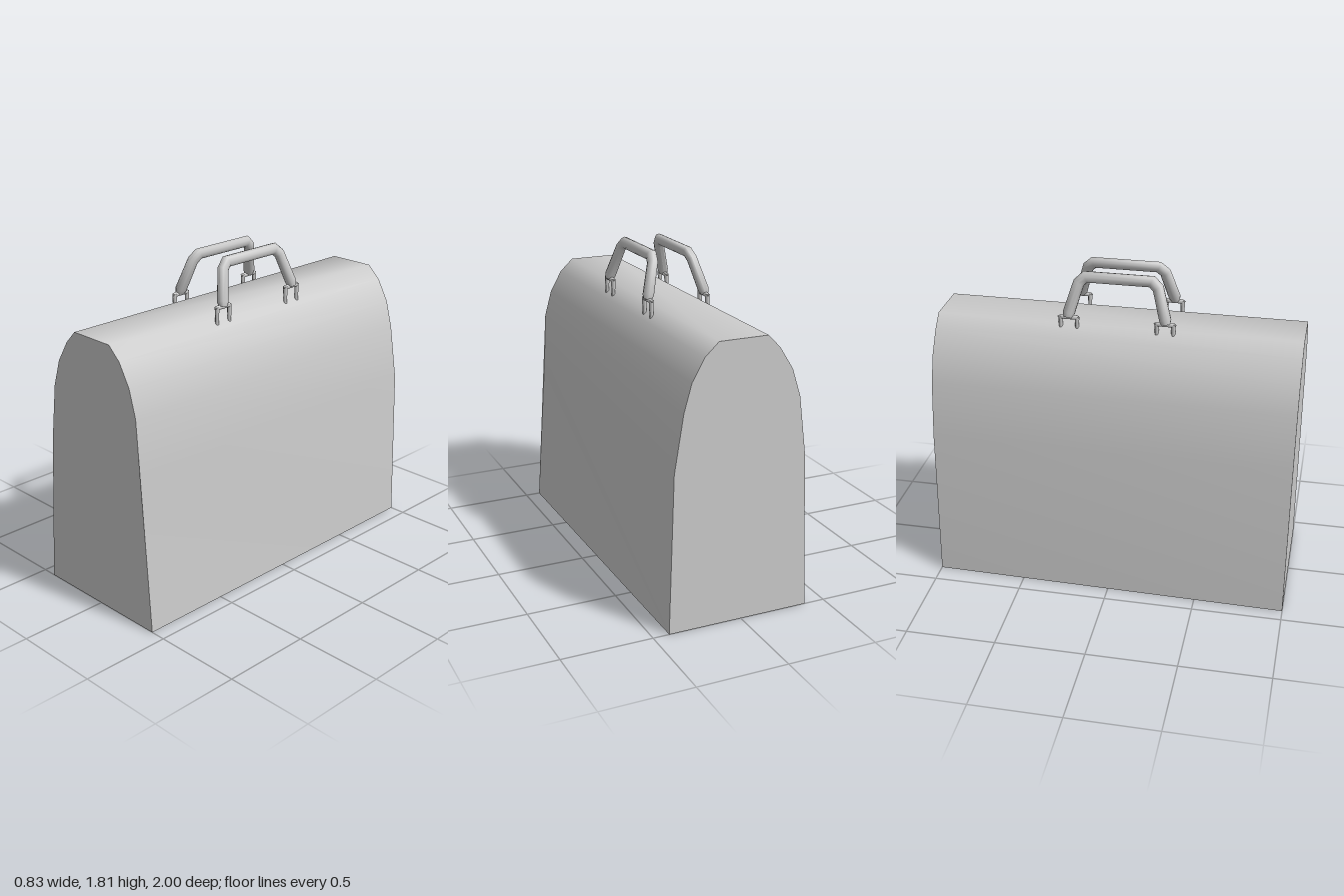
import * as THREE from 'three';
import { toCreasedNormals } from 'three/addons/utils/BufferGeometryUtils.js';

const material = new THREE.MeshStandardMaterial({ color: 0xcccccc });

function addMesh(parent, name, geometry) {
  const mesh = new THREE.Mesh(geometry, material);
  mesh.name = name;
  parent.add(mesh);
  return mesh;
}

// Skins a list of equal-sized, counterclockwise rings and caps both ends.
function loft(rings, crease) {
  const n = rings[0].length;
  const last = (rings.length - 1) * n;
  const index = [];
  for (let i = 0; i < rings.length - 1; i++) {
    for (let j = 0; j < n; j++) {
      const k = (j + 1) % n;
      const a = i * n + j, b = i * n + k;
      index.push(a, b, b + n, a, b + n, a + n);
    }
  }
  for (let j = 1; j < n - 1; j++) {
    index.push(0, j + 1, j, last, last + j, last + j + 1);
  }
  const geometry = new THREE.BufferGeometry().setFromPoints(rings.flat());
  geometry.setIndex(index);
  return toCreasedNormals(geometry, crease);
}

// Bag body: height, then left and right x at the front and at the back.
function bodyGeometry() {
  const rows = [
    [0, -0.42, 0.415, -0.385, 0.41],
    [0.87, -0.353, 0.35, -0.35, 0.385],
    [1.18, -0.31, 0.335, -0.31, 0.335],
    [1.33, -0.262, 0.293, -0.262, 0.293],
    [1.45, -0.187, 0.225, -0.187, 0.225],
    [1.52, -0.12, 0.15, -0.12, 0.15],
  ];
  const ring = (z, l, r) => [
    ...rows.map((row) => new THREE.Vector3(row[r], row[0], z)),
    ...rows.map((row) => new THREE.Vector3(row[l], row[0], z)).reverse(),
  ];
  return loft([ring(-1, 3, 4), ring(1, 1, 2)], 1.05);
}

// Round grip swept along an angular path with mitred corners.
function gripGeometry() {
  const half = [[-0.015, 0.267], [0.01, 0.262], [0.175, 0.215], [0.208, 0.18]];
  const radii = [0.024, 0.033, 0.031, 0.031];
  const path = [...half, ...half.map(([y, z]) => [y, -z]).reverse()]
    .map(([y, z]) => new THREE.Vector3(0, y, z));
  const radius = [...radii, ...radii.slice().reverse()];
  const side = new THREE.Vector3(1, 0, 0);
  const sides = 10;
  const rings = path.map((p, i) => {
    const before = p.clone().sub(path[Math.max(i - 1, 0)]).normalize();
    const after = path[Math.min(i + 1, path.length - 1)].clone().sub(p).normalize();
    const tangent = before.clone().add(after).normalize();
    const miter = 1 / Math.max(tangent.dot(after), tangent.dot(before));
    const up = tangent.clone().cross(side);
    return Array.from({ length: sides }, (_, j) => {
      const a = (j / sides) * Math.PI * 2;
      return p.clone()
        .addScaledVector(side, Math.cos(a) * radius[i] * 0.9)
        .addScaledVector(up, Math.sin(a) * radius[i] * miter);
    });
  });
  return loft(rings, 1.05);
}

// Pin with pointed ends, carried by two tapering legs.
function createBracket() {
  const bracket = new THREE.Group();
  bracket.name = 'handleBracket';
  const profile = [[0, -0.063], [0.013, -0.045], [0.013, 0.045], [0, 0.063]]
    .map(([r, y]) => new THREE.Vector2(r, y));
  const pin = addMesh(bracket, 'bracketPin', new THREE.LatheGeometry(profile, 8));
  pin.rotation.x = Math.PI / 2;
  for (const s of [-1, 1]) {
    const leg = addMesh(bracket, 'bracketLeg',
      new THREE.CylinderGeometry(0.013, 0.009, 0.11, 6));
    leg.position.set(0, -0.05, s * 0.045);
  }
  return bracket;
}

// Each handle leans inward over the top of the bag.
function createHandle(name, x, lean) {
  const handle = new THREE.Group();
  handle.name = name;
  handle.position.set(x, 1.575, 0);
  const grip = addMesh(handle, 'handleGrip', gripGeometry());
  grip.rotation.z = lean;
  for (const s of [-1, 1]) {
    const bracket = createBracket();
    bracket.position.set(0, -0.015, s * 0.262);
    handle.add(bracket);
  }
  return handle;
}

export function createModel() {
  const model = new THREE.Group();
  model.name = 'handbag';
  addMesh(model, 'bagBody', bodyGeometry());
  model.add(createHandle('rightHandle', -0.13, -0.28));
  model.add(createHandle('leftHandle', 0.197, 0.28));
  return model;
}
